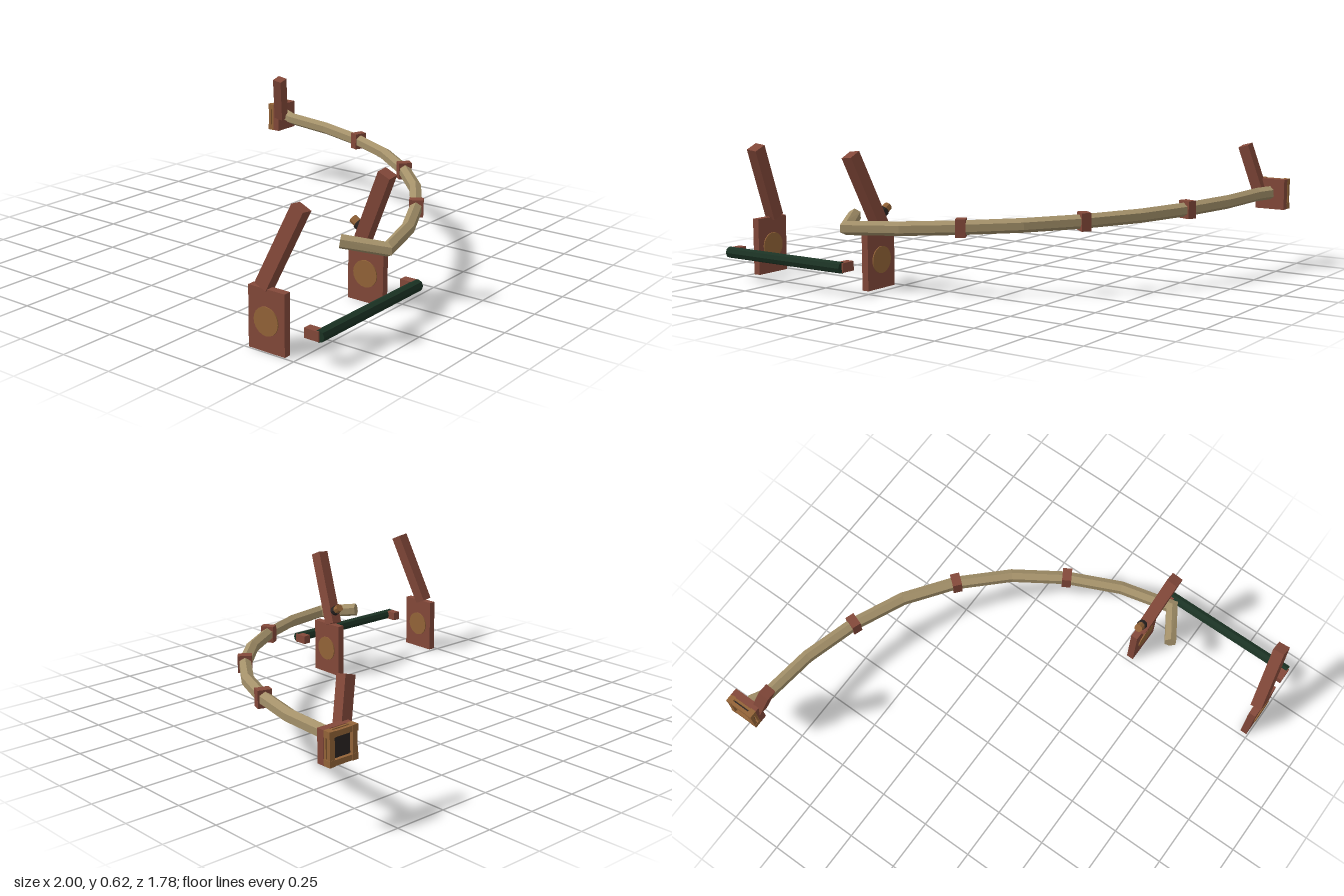
import * as THREE from 'three';

const mat = (name, color) => {
  const m = new THREE.MeshStandardMaterial({ color });
  m.name = name;
  return m;
};

export function createModel() {
  const rust = mat('rust wood', 0x84493a);
  const tan = mat('pale wood', 0xa39069);
  const gold = mat('bronze', 0x946438);
  const green = mat('dark green', 0x1b3324);
  const dark = mat('dark iron', 0x2a2422);
  const model = new THREE.Group();
  const V = (x, y, z) => new THREE.Vector3(x, y, z);
  const UP = V(0, 1, 0);

  function add(name, geo, material, pos, parent = model) {
    const m = new THREE.Mesh(geo, material);
    m.name = name;
    m.position.copy(pos);
    parent.add(m);
    return m;
  }
  const box = (name, material, pos, w, h, d, parent) =>
    add(name, new THREE.BoxGeometry(w, h, d), material, pos, parent);

  // Box or rod running between two points
  function between(name, material, a, b, w, d, round = false) {
    const len = a.distanceTo(b);
    const geo = round
      ? new THREE.CylinderGeometry(w, w, len, 8).toNonIndexed()
      : new THREE.BoxGeometry(w, len, d);
    if (round) geo.computeVertexNormals();
    const m = add(name, geo, material, a.clone().lerp(b, 0.5));
    m.quaternion.setFromUnitVectors(UP, b.clone().sub(a).normalize());
    return m;
  }

  // Two side plates with round bosses, leaning arms and roller brackets
  const midX = -0.643;
  for (const s of [-1, 1]) {
    const px = midX + s * 0.333;
    box('sidePlate', rust, V(px, 0.132, 0.61), 0.034, 0.264, 0.182);
    const disc = new THREE.CylinderGeometry(0.061, 0.061, 0.044, 20);
    disc.rotateZ(Math.PI / 2);
    add('plateBoss', disc, gold, V(px, 0.13, 0.61));
    between('leaningArm', rust, V(midX + s * 0.328, 0.265, 0.582),
      V(midX + s * 0.287, 0.605, 0.733), 0.055, 0.062);
    box('rollerBracket', rust, V(midX + s * 0.328, 0.13, 0.828), 0.04, 0.042, 0.07);
  }

  // Roller bar
  between('roller', green, V(-0.985, 0.13, 0.86), V(-0.302, 0.13, 0.86), 0.026, 0, true);

  // Small peg behind one arm
  between('peg', gold, V(-0.315, 0.31, 0.61), V(-0.315, 0.36, 0.532), 0.02, 0, true);
  between('pegCollar', dark, V(-0.315, 0.332, 0.575), V(-0.315, 0.343, 0.558), 0.024, 0, true);

  // Curved rail: hexagonal section swept along a path with mitred corners
  const path = [
    [-0.47, 0.31, 0.58], [-0.37, 0.283, 0.75], [-0.12, 0.294, 0.685], [0.12, 0.305, 0.57],
    [0.34, 0.315, 0.42], [0.53, 0.325, 0.23], [0.685, 0.335, 0.01], [0.79, 0.344, -0.23],
    [0.862, 0.352, -0.49], [0.892, 0.36, -0.75], [0.93, 0.364, -0.82],
  ].map(p => V(...p));
  const last = path.length - 1;
  const segDir = i => path[i + 1].clone().sub(path[i]).normalize();
  const tangent = i => segDir(Math.max(i - 1, 0)).add(segDir(Math.min(i, last - 1))).normalize();
  const R = 0.032, N = 6;
  const rings = path.map((p, i) => {
    const t = tangent(i);
    const side = V(0, 0, 0).crossVectors(t, UP).normalize();
    const up = V(0, 0, 0).crossVectors(side, t);
    const miter = 1 / t.dot(segDir(Math.min(i, last - 1)));
    return Array.from({ length: N }, (_, k) => {
      const a = (k / N) * Math.PI * 2;
      return p.clone().addScaledVector(side, Math.sin(a) * R * 0.95 * miter)
        .addScaledVector(up, Math.cos(a) * R);
    });
  });
  const verts = [];
  const tri = (...ps) => ps.forEach(p => verts.push(p.x, p.y, p.z));
  for (let k = 0; k < N; k++) {
    const n = (k + 1) % N;
    for (let i = 0; i < last; i++) {
      const [a, b, c, d] = [rings[i][k], rings[i][n], rings[i + 1][n], rings[i + 1][k]];
      tri(a, b, c);
      tri(a, c, d);
    }
    tri(path[0], rings[0][n], rings[0][k]);
    tri(path[last], rings[last][k], rings[last][n]);
  }
  const railGeo = new THREE.BufferGeometry();
  railGeo.setAttribute('position', new THREE.Float32BufferAttribute(verts, 3));
  railGeo.computeVertexNormals();
  tan.side = THREE.DoubleSide;
  add('curvedRail', railGeo, tan, V(0, 0, 0));

  // Bands wrapped round the rail
  for (const i of [3, 5, 7]) {
    const band = box('railBand', rust, path[i], 0.064, 0.08, 0.044);
    const t = tangent(i);
    band.rotation.y = Math.atan2(t.x, t.z);
  }

  // End block: plate with an open bronze frame on its back
  const end = new THREE.Group();
  end.name = 'endBlock';
  end.position.set(0.928, 0.358, 0);
  model.add(end);
  box('endPlate', rust, V(0, 0, -0.837), 0.144, 0.144, 0.036, end);
  box('frameCore', dark, V(0, 0, -0.862), 0.11, 0.11, 0.02, end);
  for (const s of [-1, 1]) {
    for (const u of [-1, 1]) {
      box('frameCorner', gold, V(s * 0.058, u * 0.058, -0.871), 0.028, 0.028, 0.038, end);
    }
    box('frameUpright', gold, V(s * 0.058, 0, -0.881), 0.024, 0.09, 0.016, end);
    box('frameCrossbar', gold, V(0, s * 0.058, -0.881), 0.09, 0.024, 0.016, end);
    box('frameUprightInner', gold, V(s * 0.058, 0, -0.859), 0.024, 0.09, 0.012, end);
    box('frameCrossbarInner', gold, V(0, s * 0.058, -0.859), 0.09, 0.024, 0.012, end);
  }

  // Short leaning arm beside the end block
  between('endArm', rust, V(0.88, 0.36, -0.818), V(0.815, 0.59, -0.776), 0.052, 0.052);

  return model;
}
